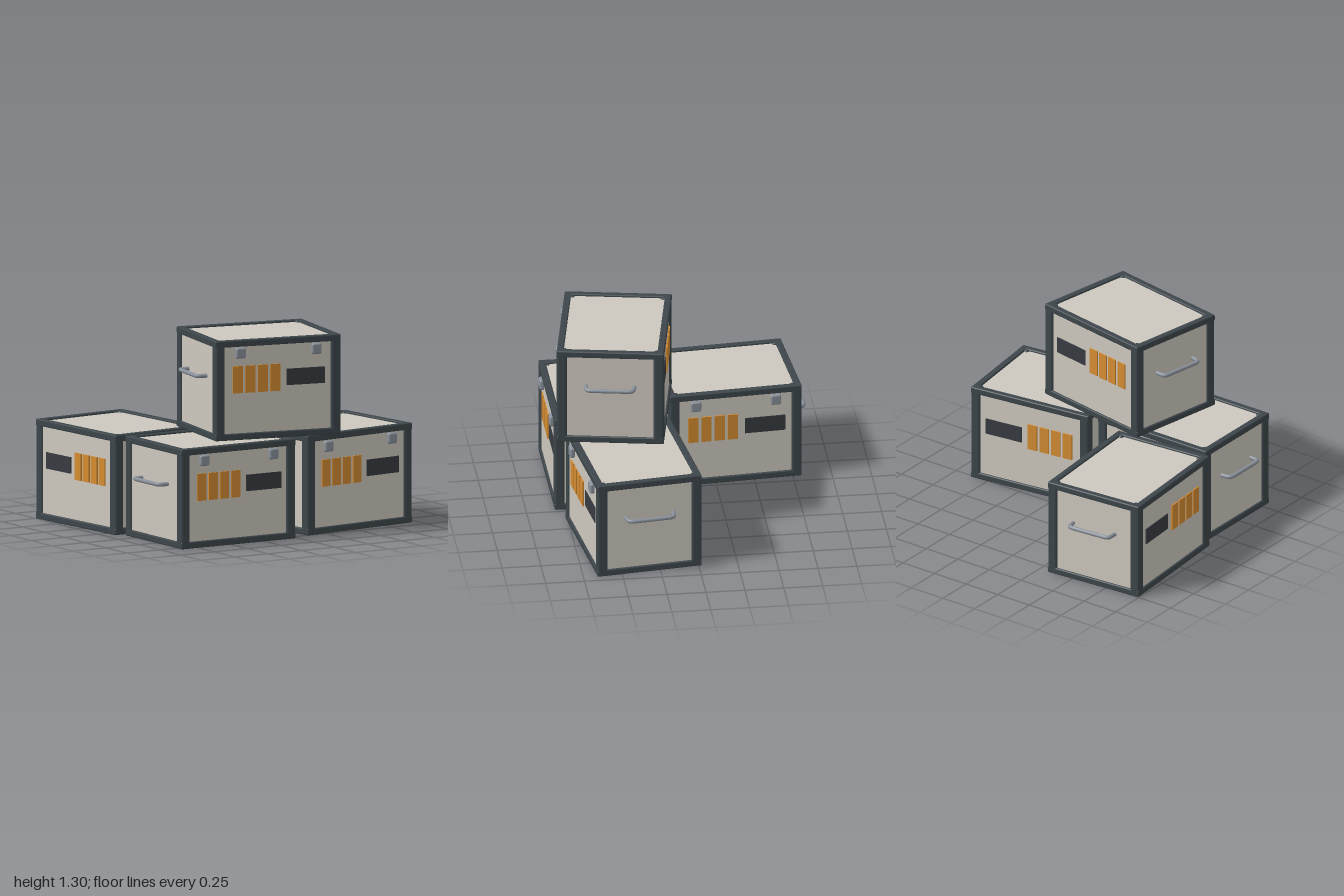
import * as THREE from 'three';
import { RoundedBoxGeometry } from 'three/addons/geometries/RoundedBoxGeometry.js';

const W = 0.86, H = 0.645, D = 0.685; // crate size
const BEAM = 0.043, POST = 0.067, RECESS = 0.013;

const material = (name, color) => {
  const m = new THREE.MeshStandardMaterial({ color });
  m.name = name;
  return m;
};

function createCrate(mats) {
  const crate = new THREE.Group();
  const add = (name, geometry, mat, x, y, z) => {
    const mesh = new THREE.Mesh(geometry, mat);
    mesh.name = name;
    mesh.position.set(x, y, z);
    crate.add(mesh);
    return mesh;
  };

  // Recessed panel body
  add('panelBody', new THREE.BoxGeometry(W - 2 * RECESS, H - 2 * RECESS, D - 2 * RECESS), mats.panel, 0, H / 2, 0);

  // Frame: four posts, four long and four short pairs of beams
  const post = new RoundedBoxGeometry(POST, H - 0.004, POST, 2, 0.016);
  const longBeam = new RoundedBoxGeometry(W, BEAM, BEAM, 2, 0.008);
  const sideBeam = new RoundedBoxGeometry(BEAM, BEAM, D, 2, 0.008);
  for (const s of [-1, 1]) {
    for (const t of [-1, 1]) {
      add('cornerPost', post, mats.frame, s * (W - POST) / 2, H / 2, t * (D - POST) / 2);
      const y = H / 2 + t * (H - BEAM) / 2;
      add('longBeam', longBeam, mats.frame, 0, y, s * (D - BEAM) / 2);
      add('sideBeam', sideBeam, mats.frame, s * (W - BEAM) / 2, y, 0);
    }
  }

  // Stripes and label plate on front and back
  const stripe = new THREE.BoxGeometry(0.066, 0.175, 0.009);
  const label = new THREE.BoxGeometry(0.262, 0.106, 0.006);
  for (const s of [-1, 1]) {
    const face = s * (D / 2 - RECESS);
    for (let i = 0; i < 4; i++) {
      add('stripe', stripe, mats.stripe, -0.275 + i * 0.0855, 0.39, face + s * 0.0045);
    }
    add('labelPlate', label, mats.label, 0.193, 0.388, face + s * 0.003);
  }

  // Front clasps
  const clasp = new RoundedBoxGeometry(0.068, 0.07, 0.034, 2, 0.012);
  for (const s of [-1, 1]) add('clasp', clasp, mats.metal, s * 0.26, 0.562, D / 2 - 0.001);

  // Bent tube handles on both ends
  const p = (x, z) => new THREE.Vector3(x, 0, z);
  const path = new THREE.CurvePath();
  path.add(new THREE.LineCurve3(p(-0.02, 0.155), p(0.03, 0.151)));
  path.add(new THREE.QuadraticBezierCurve3(p(0.03, 0.151), p(0.055, 0.148), p(0.055, 0.115)));
  path.add(new THREE.LineCurve3(p(0.055, 0.115), p(0.055, -0.115)));
  path.add(new THREE.QuadraticBezierCurve3(p(0.055, -0.115), p(0.055, -0.148), p(0.03, -0.151)));
  path.add(new THREE.LineCurve3(p(0.03, -0.151), p(-0.02, -0.155)));
  const handle = new THREE.TubeGeometry(path, 48, 0.0135, 10, false);
  for (const s of [-1, 1]) {
    add('handle', handle, mats.metal, s * W / 2, 0.398, 0).rotation.y = s > 0 ? 0 : Math.PI;
  }
  return crate;
}

export function createModel() {
  const mats = {
    panel: material('cream panel', 0xcdc8be),
    frame: material('slate frame', 0x3d464b),
    stripe: material('orange stripe', 0xd48c32),
    label: material('dark label', 0x373b40),
    metal: material('grey metal', 0x8a919b),
  };
  const model = new THREE.Group();
  model.name = 'crateStack';

  // Placement of each crate: name, x, y, z, turn in degrees
  const layout = [
    ['frontRightCrate', -0.45, 0.004, 0.475, 0],
    ['leftCrate', 0.486, 0.004, 0.372, 7],
    ['rearCrate', -0.625, 0.004, -0.352, 94.5],
    ['topCrate', -0.06, 0.656, 0.43, -10.4],
  ];
  for (const [name, x, y, z, turn] of layout) {
    const crate = createCrate(mats);
    crate.name = name;
    crate.position.set(x, y, z);
    crate.rotation.y = THREE.MathUtils.degToRad(turn);
    model.add(crate);
  }
  return model;
}
